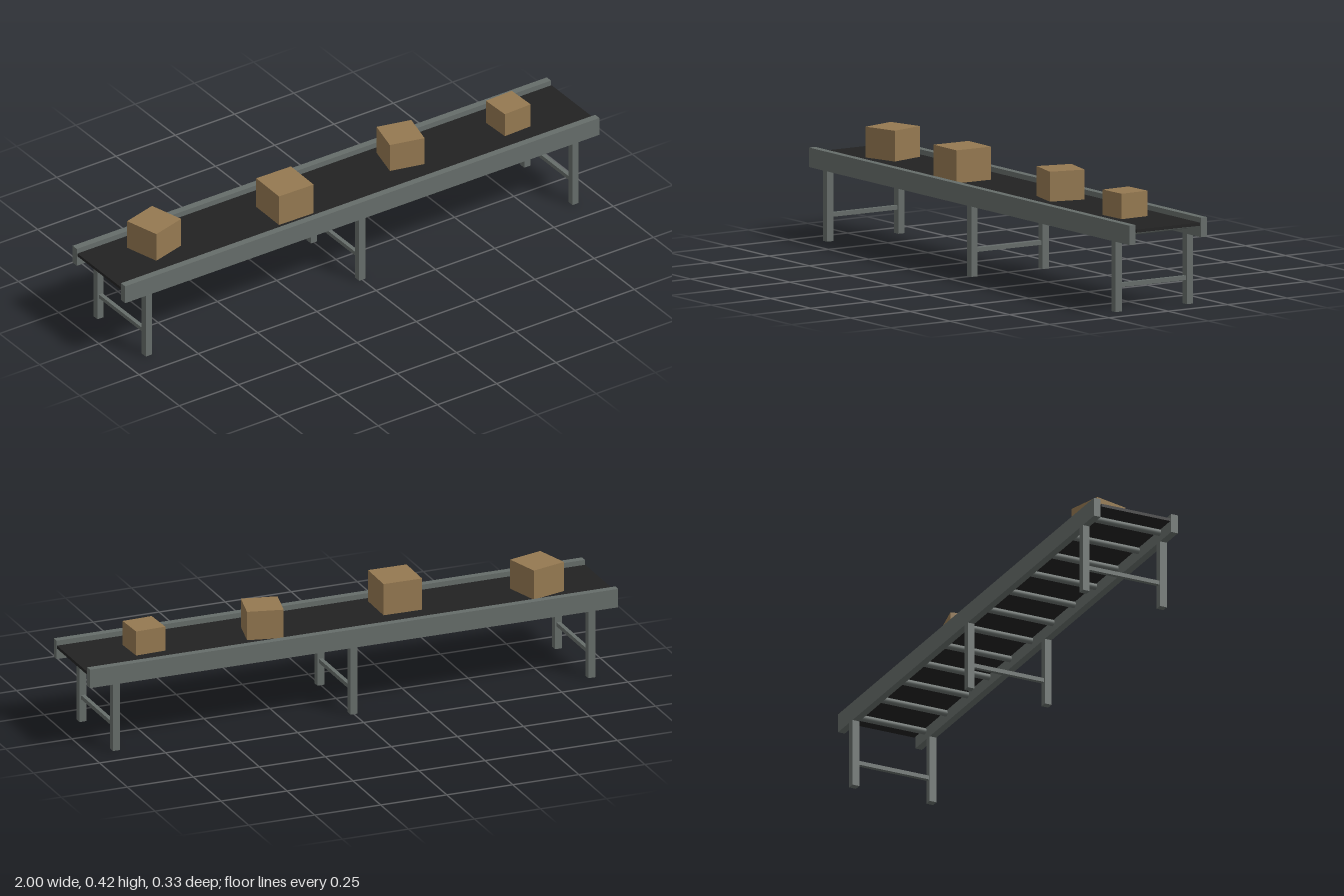
import * as THREE from 'three';

export function createModel() {
  const model = new THREE.Group();
  const mat = (name, color) => {
    const m = new THREE.MeshStandardMaterial({ color });
    m.name = name;
    return m;
  };
  const steel = mat('steel grey', 0x666d6a);
  const rubber = mat('belt black', 0x222222);
  const cardboard = mat('cardboard brown', 0x957951);

  const add = (name, geometry, material, x, y, z) => {
    const mesh = new THREE.Mesh(geometry, material);
    mesh.name = name;
    mesh.position.set(x, y, z);
    model.add(mesh);
    return mesh;
  };
  const box = (name, material, w, h, d, x, y, z) =>
    add(name, new THREE.BoxGeometry(w, h, d), material, x, y, z);

  // Belt
  box('belt', rubber, 2, 0.011, 0.268, 0, 0.2955, 0);

  // Side rails
  for (const side of [-1, 1]) {
    box('sideRail', steel, 2, 0.069, 0.026, 0, 0.2835, side * 0.1505);
  }

  // Rollers under the belt
  const rollerCount = 12;
  const rollerGeometry = new THREE.CylinderGeometry(0.0115, 0.0115, 0.268, 16).rotateX(Math.PI / 2);
  for (let i = 0; i < rollerCount; i++) {
    const x = -0.917 + (i * 1.834) / (rollerCount - 1);
    add('roller', rollerGeometry, steel, x, 0.2795, 0);
  }

  // Leg frames, each with a cross brace
  for (const x of [-0.9, 0, 0.9]) {
    for (const side of [-1, 1]) {
      box('leg', steel, 0.026, 0.25, 0.0265, x, 0.125, side * 0.1503);
    }
    box('crossBrace', steel, 0.015, 0.015, 0.276, x, 0.0925, 0);
  }

  // Parcels: width, height, x, z, turn
  const parcels = [
    [0.134, 0.109, -0.752, -0.022, 0.27],
    [0.145, 0.117, -0.237, 0.032, -0.015],
    [0.13, 0.106, 0.29, -0.026, -0.23],
    [0.112, 0.09, 0.728, -0.002, 0.04],
  ];
  for (const [w, h, x, z, turn] of parcels) {
    box('parcel', cardboard, w, h, w, x, 0.301 + h / 2, z).rotation.y = turn;
  }

  return model;
}
